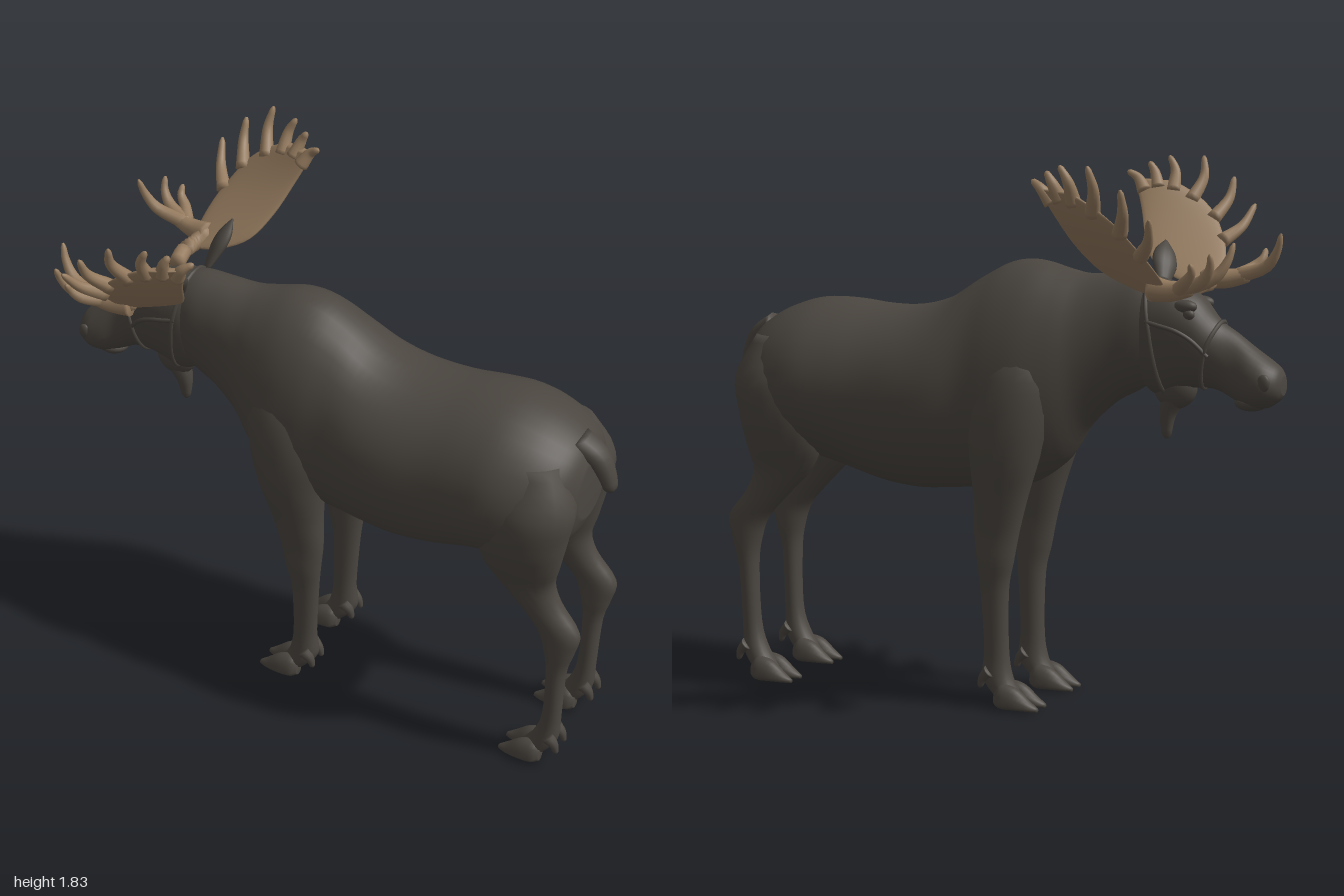
import * as THREE from 'three';

const V = (x, y, z) => new THREE.Vector3(x, y, z);
const coat = new THREE.MeshStandardMaterial({ color: 0x4b4640 });
coat.name = 'darkCoat';
const horn = new THREE.MeshStandardMaterial({ color: 0x957b5f });
horn.name = 'antlerTan';

// Skins closed rings of points, caps both ends and faces everything outward
function loft(rings) {
  const n = rings[0].length, pos = [], idx = [];
  rings.forEach(r => r.forEach(p => pos.push(p.x, p.y, p.z)));
  for (let i = 0; i < rings.length - 1; i++)
    for (let j = 0; j < n; j++) {
      const a = i * n + j, b = i * n + (j + 1) % n;
      idx.push(a, b, a + n, b, b + n, a + n);
    }
  [0, rings.length - 1].forEach(k => {
    const c = rings[k].reduce((s, p) => s.add(p), V(0, 0, 0)).divideScalar(n);
    const m = pos.length / 3;
    pos.push(c.x, c.y, c.z);
    for (let j = 0; j < n; j++) {
      const a = k * n + j, b = k * n + (j + 1) % n;
      if (k === 0) idx.push(m, b, a); else idx.push(m, a, b);
    }
  });
  let volume = 0;
  const at = i => V(pos[3 * i], pos[3 * i + 1], pos[3 * i + 2]);
  for (let i = 0; i < idx.length; i += 3) volume += at(idx[i]).dot(at(idx[i + 1]).cross(at(idx[i + 2])));
  if (volume < 0) idx.reverse();
  const g = new THREE.BufferGeometry();
  g.setAttribute('position', new THREE.Float32BufferAttribute(pos, 3));
  g.setIndex(idx);
  g.computeVertexNormals();
  return g;
}

// Catmull-Rom refinement of a table of section rows
function refine(rows, steps = 4) {
  const out = [], row = i => rows[Math.min(Math.max(i, 0), rows.length - 1)];
  for (let i = 0; i < rows.length - 1; i++)
    for (let s = 0; s < steps; s++) {
      const t = s / steps;
      out.push(rows[0].map((_, c) => {
        const [a, b, d, e] = [row(i - 1)[c], row(i)[c], row(i + 1)[c], row(i + 2)[c]];
        return b + 0.5 * t * (d - a + t * (2 * a - 5 * b + 4 * d - e + t * (3 * (b - d) + e - a)));
      }));
    }
  out.push(rows[rows.length - 1]);
  return out;
}

const circle = (n, f) => Array.from({ length: n }, (_, i) => f(i / n * Math.PI * 2));
// Point on an upright section; row = x, top, widest height, bottom, half width
const sectionPoint = ([x, top, mid, bot, w], t, zc = 0) =>
  V(x, mid + Math.cos(t) * (Math.cos(t) > 0 ? top - mid : mid - bot), zc + w * Math.sin(t));
const alongX = (rows, zc = 0, n = 32) => loft(refine(rows).map(r => circle(n, t => sectionPoint(r, t, zc))));
// Level sections; row = y, centre x, radius x, centre z, radius z
const alongY = (rows, side) => loft(refine(rows).map(([y, x, rx, z, rz]) =>
  circle(20, t => V(x + rx * Math.cos(t), y, side * (z + rz * Math.sin(t))))));

// Round tapering limb along a curve, with optional flattening across z
function taper(points, r0, r1, flat = 1) {
  const curve = new THREE.CatmullRomCurve3(points), n = 12;
  return loft(Array.from({ length: n + 1 }, (_, i) => {
    const u = i / n, c = curve.getPoint(u), d = curve.getTangent(u);
    const a = V(0, 0, 1).cross(d).normalize(), b = d.clone().cross(a);
    const r = (r0 + (r1 - r0) * u) * (u > 0.95 ? 0.5 : 1);
    return circle(10, t => c.clone().addScaledVector(a, r * Math.cos(t)).addScaledVector(b, r * flat * Math.sin(t)));
  }));
}

const BODY = [
  [-0.60, 1.44, 1.32, 1.16, 0.09], [-0.52, 1.465, 1.29, 1.09, 0.12], [-0.43, 1.465, 1.25, 1.04, 0.135],
  [-0.33, 1.46, 1.2, 0.95, 0.165], [-0.25, 1.475, 1.14, 0.83, 0.205], [-0.15, 1.5, 1.08, 0.755, 0.24],
  [-0.05, 1.49, 1.06, 0.73, 0.25], [0.05, 1.44, 1.05, 0.72, 0.25], [0.16, 1.37, 1.04, 0.71, 0.27],
  [0.28, 1.335, 1.03, 0.703, 0.28], [0.42, 1.332, 1.03, 0.72, 0.28], [0.55, 1.345, 1.04, 0.76, 0.29],
  [0.66, 1.345, 1.05, 0.79, 0.298], [0.76, 1.32, 1.05, 0.82, 0.28], [0.84, 1.28, 1.06, 0.85, 0.24],
  [0.89, 1.24, 1.07, 0.9, 0.185], [0.92, 1.19, 1.08, 0.97, 0.11]];
const HEAD = [
  [-1, 1.15, 1.12, 1.09, 0.03], [-0.985, 1.178, 1.12, 1.07, 0.062], [-0.95, 1.205, 1.12, 1.047, 0.086],
  [-0.9, 1.24, 1.13, 1.042, 0.085], [-0.84, 1.285, 1.16, 1.065, 0.07], [-0.78, 1.325, 1.22, 1.095, 0.076],
  [-0.72, 1.395, 1.28, 1.1, 0.098], [-0.66, 1.43, 1.3, 1.09, 0.112], [-0.6, 1.45, 1.3, 1.07, 0.117],
  [-0.55, 1.46, 1.3, 1.08, 0.115], [-0.5, 1.45, 1.3, 1.14, 0.09]];
const FORELEG = [
  [1.28, -0.13, 0.08, 0.1, 0.07], [1.15, -0.12, 0.14, 0.13, 0.115], [1, -0.1, 0.15, 0.15, 0.122],
  [0.85, -0.09, 0.12, 0.165, 0.1], [0.72, -0.075, 0.095, 0.162, 0.075], [0.6, -0.06, 0.08, 0.16, 0.056],
  [0.5, -0.055, 0.065, 0.16, 0.05], [0.4, -0.05, 0.05, 0.155, 0.041], [0.2, -0.055, 0.043, 0.15, 0.037],
  [0.1, -0.06, 0.054, 0.15, 0.045], [0.04, -0.1, 0.05, 0.15, 0.05]];
const HINDLEG = [
  [1.22, 0.77, 0.09, 0.13, 0.08], [1.08, 0.77, 0.155, 0.16, 0.125], [0.95, 0.755, 0.155, 0.165, 0.122],
  [0.84, 0.75, 0.14, 0.16, 0.095], [0.75, 0.765, 0.108, 0.15, 0.066], [0.67, 0.82, 0.085, 0.15, 0.052],
  [0.58, 0.895, 0.077, 0.155, 0.048], [0.5, 0.905, 0.055, 0.155, 0.047], [0.4, 0.9, 0.035, 0.155, 0.04],
  [0.2, 0.893, 0.033, 0.15, 0.036], [0.1, 0.875, 0.046, 0.15, 0.045], [0.04, 0.835, 0.05, 0.15, 0.05]];
// Palm edges from base to crown: front x, front y, back x, back y
const PALM = [
  [-0.69, 1.43, -0.63, 1.41], [-0.69, 1.47, -0.55, 1.435], [-0.67, 1.53, -0.46, 1.485], [-0.635, 1.59, -0.405, 1.56],
  [-0.595, 1.645, -0.365, 1.65], [-0.53, 1.7, -0.335, 1.72], [-0.45, 1.745, -0.325, 1.755]];
const TINES = [
  [-0.65, 1.55, -0.7, 1.6, -0.725, 1.67], [-0.6, 1.62, -0.635, 1.69, -0.64, 1.76],
  [-0.515, 1.68, -0.54, 1.76, -0.53, 1.83], [-0.45, 1.71, -0.445, 1.78, -0.42, 1.83],
  [-0.4, 1.72, -0.38, 1.775, -0.36, 1.81], [-0.36, 1.71, -0.33, 1.755, -0.295, 1.78]];
// Outward lean and cupping of the palm
const palmZ = (x, y) => 0.22 - 0.38 * (x + 0.65) + 0.88 * (y - 1.42)
  + 0.05 * Math.sin(Math.PI * Math.min(Math.max((y - 1.42) / 0.4, 0), 1));

// Point on the head surface at a given x and angle, used by the halter
function onHead(x, t) {
  const i = HEAD.findIndex(r => r[0] > x), a = HEAD[i - 1], b = HEAD[i], u = (x - a[0]) / (b[0] - a[0]);
  return sectionPoint(a.map((v, k) => v + (b[k] - v) * u), t);
}

export function createModel() {
  const root = new THREE.Group();
  root.name = 'moose';
  const add = (name, geometry, material = coat) => {
    const m = new THREE.Mesh(geometry, material);
    m.name = name;
    root.add(m);
    return m;
  };
  const ball = (name, x, y, z, sx, sy, sz) => {
    const m = add(name, new THREE.SphereGeometry(1, 20, 14));
    m.position.set(x, y, z);
    m.scale.set(sx, sy, sz);
    return m;
  };

  add('body', alongX(BODY));
  add('head', alongX(HEAD));
  add('tail', taper([V(0.86, 1.24, 0), V(0.93, 1.2, 0), V(0.965, 1.14, 0), V(0.985, 1.08, 0)], 0.045, 0.022, 1.2));
  // Throat bell
  ball('throatBell', -0.63, 1.1, 0, 0.075, 0.075, 0.05);
  add('bellTassel', taper([V(-0.63, 1.08, 0), V(-0.605, 1.01, 0), V(-0.6, 0.925, 0)], 0.045, 0.014));
  ball('lowerLip', -0.89, 1.06, 0, 0.055, 0.028, 0.05);

  // Halter
  const strap = (name, pts, closed) =>
    add(name, new THREE.TubeGeometry(new THREE.CatmullRomCurve3(pts, closed), 48, 0.008, 6, closed));
  strap('noseBand', circle(24, t => onHead(-0.76 - 0.03 * Math.cos(t), t)), true);
  strap('throatBand', circle(24, t => onHead(-0.575 + 0.03 * Math.cos(t), t)), true);

  for (const side of [1, -1]) {
    const s = side > 0 ? 'left' : 'right';
    const S = (x, y, z) => V(x, y, z * side);
    strap(s + 'CheekStrap', [0, 0.25, 0.5, 0.75, 1].map(u => onHead(-0.765 + 0.2 * u, side * (1.75 - 0.3 * u))), false);
    ball(s + 'Eye', -0.705, 1.345, side * 0.09, 0.02, 0.017, 0.014);
    ball(s + 'Brow', -0.69, 1.37, side * 0.082, 0.04, 0.022, 0.022);
    ball(s + 'Nostril', -0.955, 1.135, side * 0.078, 0.022, 0.028, 0.012);

    // Ear: a leaf shape sweeping up and out
    const ear = refine([[0, 0.018], [0.25, 0.034], [0.5, 0.045], [0.75, 0.036], [1, 0.004]]);
    add(s + 'Ear', loft(ear.map(([u, w]) => circle(14, t => S(
      -0.55 + 0.035 * u + w * 0.75 * Math.cos(t) + 0.3 * w * Math.sin(t),
      1.42 + 0.14 * u + w * 0.35 * Math.cos(t) - 0.25 * w * Math.sin(t),
      0.085 + 0.12 * u - w * 0.55 * Math.cos(t) + 0.35 * w * Math.sin(t))))));

    // Legs with cloven hooves and dewclaws
    [['Foreleg', FORELEG, -0.22, 0], ['Hindleg', HINDLEG, -0.22 + 0.5, 0.435]].forEach(([name, rows], k) => {
      add(s + name, alongY(rows, side));
      const x = k ? 0.72 : -0.22;
      for (const e of [-1, 1]) {
        const zc = side * (0.15 + e * 0.034);
        add(s + name + 'Hoof', alongX([
          [x, 0.014, 0.007, 0, 0.008], [x + 0.03, 0.035, 0.012, 0, 0.024], [x + 0.08, 0.075, 0.018, 0, 0.035],
          [x + 0.13, 0.085, 0.022, 0, 0.034], [x + 0.155, 0.06, 0.03, 0.01, 0.018]], zc, 16));
        add(s + name + 'Dewclaw', taper([V(x + 0.175, 0.125, zc), V(x + 0.2, 0.1, zc), V(x + 0.212, 0.065, zc)], 0.024, 0.009));
      }
    });

    // Antler: beam, cupped palm, crown tines and brow tines
    add(s + 'AntlerBeam', taper([S(-0.66, 1.415, 0.07), S(-0.672, 1.425, 0.14), S(-0.665, 1.425, 0.21), S(-0.64, 1.45, 0.26)], 0.028, 0.03), horn);
    add(s + 'AntlerPalm', loft(refine(PALM).map(([fx, fy, bx, by], i) => circle(24, t => {
      const c = Math.cos(t) / 2, x = (fx + bx) / 2 + (bx - fx) * c, y = (fy + by) / 2 + (by - fy) * c;
      return S(x, y, palmZ(x, y) + (0.026 - 0.0005 * i) * Math.sin(t));
    }))), horn);
    TINES.forEach(([ax, ay, bx, by, cx, cy]) => add(s + 'AntlerTine', taper(
      [S(ax, ay, palmZ(ax, ay)), S(bx, by, palmZ(bx, by)), S(cx, cy, palmZ(cx, cy) - 0.01)], 0.026, 0.009), horn));
    add(s + 'BrowBranch', taper([S(-0.64, 1.44, 0.25), S(-0.71, 1.435, 0.265), S(-0.79, 1.45, 0.28)], 0.042, 0.024), horn);
    [[-0.85, 1.48, 0.26, -0.905, 1.59, 0.235], [-0.83, 1.475, 0.31, -0.865, 1.56, 0.345],
      [-0.78, 1.47, 0.33, -0.81, 1.53, 0.37]].forEach(([ax, ay, az, bx, by, bz]) =>
      add(s + 'BrowTine', taper([S(-0.74, 1.442, 0.275), S(ax, ay, az), S((ax + bx) / 2 - 0.012, (ay + by) / 2, (az + bz) / 2), S(bx, by, bz)], 0.026, 0.008), horn));
  }
  return root;
}
